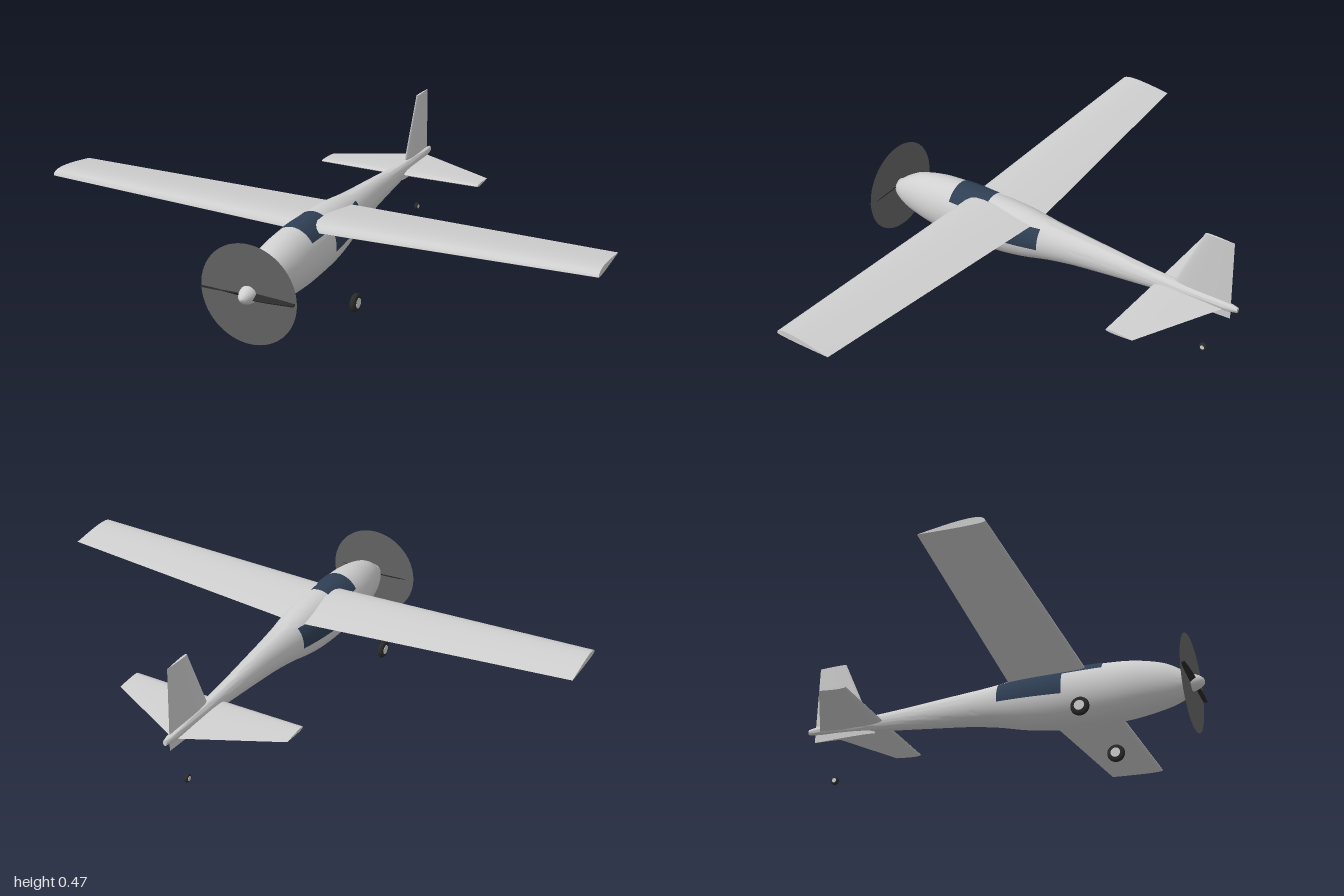
import * as THREE from 'three';
import { toCreasedNormals } from 'three/addons/utils/BufferGeometryUtils.js';

const material = (name, color, side = THREE.FrontSide) => {
  const m = new THREE.MeshStandardMaterial({ color, side });
  m.name = name;
  return m;
};

// Fuselage stations: z, bottom y, top y, half width
const STATIONS = [
  [-0.735, 0.21, 0.23, 0.007], [-0.7, 0.204, 0.235, 0.014], [-0.6, 0.197, 0.24, 0.018],
  [-0.4, 0.178, 0.25, 0.028], [-0.2, 0.158, 0.266, 0.042], [-0.1, 0.147, 0.273, 0.051],
  [0, 0.13, 0.281, 0.063], [0.1, 0.106, 0.293, 0.077], [0.2, 0.09, 0.299, 0.085],
  [0.3, 0.084, 0.3, 0.088], [0.4, 0.083, 0.298, 0.088], [0.5, 0.09, 0.29, 0.083],
  [0.6, 0.107, 0.266, 0.065], [0.65, 0.122, 0.239, 0.049], [0.683, 0.143, 0.213, 0.034],
];

// Smooth interpolation between the stations
function section(z) {
  let i = 0;
  while (i < STATIONS.length - 2 && z > STATIONS[i + 1][0]) i++;
  const at = (k) => STATIONS[Math.min(Math.max(k, 0), STATIONS.length - 1)];
  const [p, a, b, n] = [at(i - 1), at(i), at(i + 1), at(i + 2)];
  const h = b[0] - a[0], t = (z - a[0]) / h;
  const [bottom, top, rx] = [1, 2, 3].map((c) => {
    const m0 = h * (b[c] - p[c]) / (b[0] - p[0]), m1 = h * (n[c] - a[c]) / (n[0] - a[0]);
    return (2 * t ** 3 - 3 * t ** 2 + 1) * a[c] + (t ** 3 - 2 * t ** 2 + t) * m0
      + (3 * t ** 2 - 2 * t ** 3) * b[c] + (t ** 3 - t ** 2) * m1;
  });
  return { cy: (bottom + top) / 2, ry: (top - bottom) / 2, rx };
}

function skinPoint(z, angle, offset = 0) {
  const s = section(z);
  return [(s.rx + offset) * Math.cos(angle), s.cy + (s.ry + offset) * Math.sin(angle), z];
}

const angleAt = (z, y) => {
  const s = section(z);
  return Math.asin(Math.min(1, Math.max(-1, (y - s.cy) / s.ry)));
};

// Skin over loops of points; closed loops get flat end caps
function loft(loops, closed = true) {
  const n = loops[0].length, index = [];
  for (let j = 0; j < loops.length - 1; j++) {
    for (let i = 0; i < (closed ? n : n - 1); i++) {
      const a = j * n + i, b = j * n + (i + 1) % n;
      index.push(a, b, b + n, a, b + n, a + n);
    }
  }
  const last = (loops.length - 1) * n;
  for (let i = 1; closed && i < n - 1; i++) {
    index.push(0, i + 1, i, last, last + i, last + i + 1);
  }
  const g = new THREE.BufferGeometry();
  g.setAttribute('position', new THREE.Float32BufferAttribute(loops.flat(2), 3));
  g.setIndex(index);
  return toCreasedNormals(g, 0.7);
}

// Aerofoil outline as [chord fraction from the front, height], rear to front to rear
function aerofoil(under) {
  const shape = (u) => 2.6 * (Math.sqrt(u) - u) * (1 - 0.35 * u) + 0.35 * u * (1 - u);
  const peak = shape(0.3), pts = [];
  const steps = 12;
  for (let i = 0; i <= steps; i++) {
    const u = ((1 + Math.cos(Math.PI * i / steps)) / 2);
    pts.push([u, shape(u) / peak]);
  }
  for (let i = 1; i < steps; i++) {
    const u = ((1 - Math.cos(Math.PI * i / steps)) / 2);
    pts.push([u, -under * shape(u) / peak]);
  }
  return pts;
}

// Horizontal surface through ribs of x, front z, rear z, y, thickness
const flatSurface = (ribs, under) => loft(ribs.map(([x, front, rear, y, t]) =>
  aerofoil(under).map(([u, v]) => [x, y + v * t, front + (rear - front) * u])));

export function createModel() {
  const body = material('light grey', 0xd0d0d0);
  const glass = material('dark blue glass', 0x2f3f54, THREE.DoubleSide);
  const disc = material('mid grey', 0x646464, THREE.DoubleSide);
  const dark = material('charcoal', 0x2a2a2a);
  const model = new THREE.Group();
  model.name = 'aeroplane';
  const add = (name, geometry, mat, parent = model) => {
    const m = new THREE.Mesh(geometry, mat);
    m.name = name;
    parent.add(m);
    return m;
  };

  // Fuselage
  const loops = [];
  for (let j = 0; j <= 60; j++) {
    const z = -0.735 + 1.418 * j / 60;
    loops.push(Array.from({ length: 40 }, (_, i) => skinPoint(z, i * Math.PI / 20)));
  }
  add('fuselage', loft(loops), body);

  // Windows lie just above the skin
  const patch = (z0, z1, angles) => {
    const rows = [];
    for (let j = 0; j <= 12; j++) {
      const z = z0 + (z1 - z0) * j / 12, [a, b] = angles(z);
      rows.push(Array.from({ length: 21 }, (_, i) => skinPoint(z, a + (b - a) * i / 20, 0.002)));
    }
    return loft(rows, false);
  };
  add('windscreen', patch(0.25, 0.4, (z) => {
    const a = angleAt(z, 0.255);
    return [a, Math.PI - a];
  }), glass);
  for (const side of [1, -1]) {
    add(side > 0 ? 'leftWindow' : 'rightWindow', patch(0.02, 0.26, (z) => {
      const low = angleAt(z, 0.193 - 0.07 * (z - 0.02)), high = angleAt(z, 0.266);
      return side > 0 ? [low, high] : [Math.PI - high, Math.PI - low];
    }), glass);
  }

  // Wing with slight dihedral, and tailplane
  add('wing', flatSurface([
    [-1, 0.34, 0.13, 0.297, 0.019], [0, 0.34, 0.055, 0.266, 0.026],
    [1, 0.34, 0.13, 0.297, 0.019],
  ], 0.25), body);
  add('tailplane', flatSurface([
    [-0.32, -0.43, -0.53, 0.213, 0.005], [0, -0.43, -0.69, 0.211, 0.009],
    [0.32, -0.43, -0.53, 0.213, 0.005],
  ], 1), body);

  // Fin, from below the tail cone to the top: y, front z, rear z, half thickness
  const finRibs = [[0.175, -0.467, -0.71, 0.008], [0.472, -0.597, -0.703, 0.004]];
  add('fin', loft(finRibs.map(([y, front, rear, t]) =>
    aerofoil(1).map(([u, v]) => [-v * t, y, front + (rear - front) * u]))), body);

  // Propeller: spinner, two twisted blades and the swept disc
  const propeller = new THREE.Group();
  propeller.name = 'propeller';
  propeller.position.set(0, 0.181, 0.69);
  model.add(propeller);
  const spinnerProfile = [[0, -0.012], [0.03, -0.012], [0.03, 0], [0.027, 0.014],
    [0.02, 0.029], [0.011, 0.04], [0, 0.044]].map(([r, h]) => new THREE.Vector2(r, h));
  const spinner = new THREE.LatheGeometry(spinnerProfile, 32).rotateX(Math.PI / 2);
  add('spinner', spinner, body, propeller);
  add('propellerDisc', new THREE.CircleGeometry(0.17, 64), disc, propeller);
  for (const side of [1, -1]) {
    const blade = new THREE.BoxGeometry(0.15, 0.004, 0.024, 10, 1, 1).translate(0.09, 0, 0);
    const p = blade.attributes.position, v = new THREE.Vector3();
    for (let i = 0; i < p.count; i++) {
      v.fromBufferAttribute(p, i);
      const t = (v.x - 0.015) / 0.15;
      v.z *= 1 - 0.5 * t * t;
      v.applyAxisAngle(new THREE.Vector3(1, 0, 0), 0.75 - 0.5 * t);
      p.setXYZ(i, v.x, v.y, v.z);
    }
    blade.computeVertexNormals();
    const m = add('propellerBlade', blade, dark, propeller);
    m.position.z = 0.008;
    if (side < 0) m.rotation.z = Math.PI;
  }

  // Wheels: rounded tyre around a pale hub
  const wheel = (name, x, y, z, r, w) => {
    const g = new THREE.Group();
    g.name = name;
    g.position.set(x, y, z);
    const h = w / 2;
    const profile = [[0.5 * r, -h], [0.82 * r, -h], [0.95 * r, -0.65 * h], [r, 0],
      [0.95 * r, 0.65 * h], [0.82 * r, h], [0.5 * r, h]].map(([a, b]) => new THREE.Vector2(a, b));
    add('tyre', new THREE.LatheGeometry(profile, 32).rotateZ(Math.PI / 2), dark, g);
    add('hub', new THREE.CylinderGeometry(0.54 * r, 0.54 * r, w + 0.002, 24).rotateZ(Math.PI / 2), body, g);
    model.add(g);
  };
  wheel('leftWheel', 0.21, 0.059, 0.363, 0.032, 0.02);
  wheel('rightWheel', -0.21, 0.059, 0.363, 0.032, 0.02);
  wheel('tailWheel', 0, 0.015, -0.62, 0.015, 0.012);

  return model;
}
